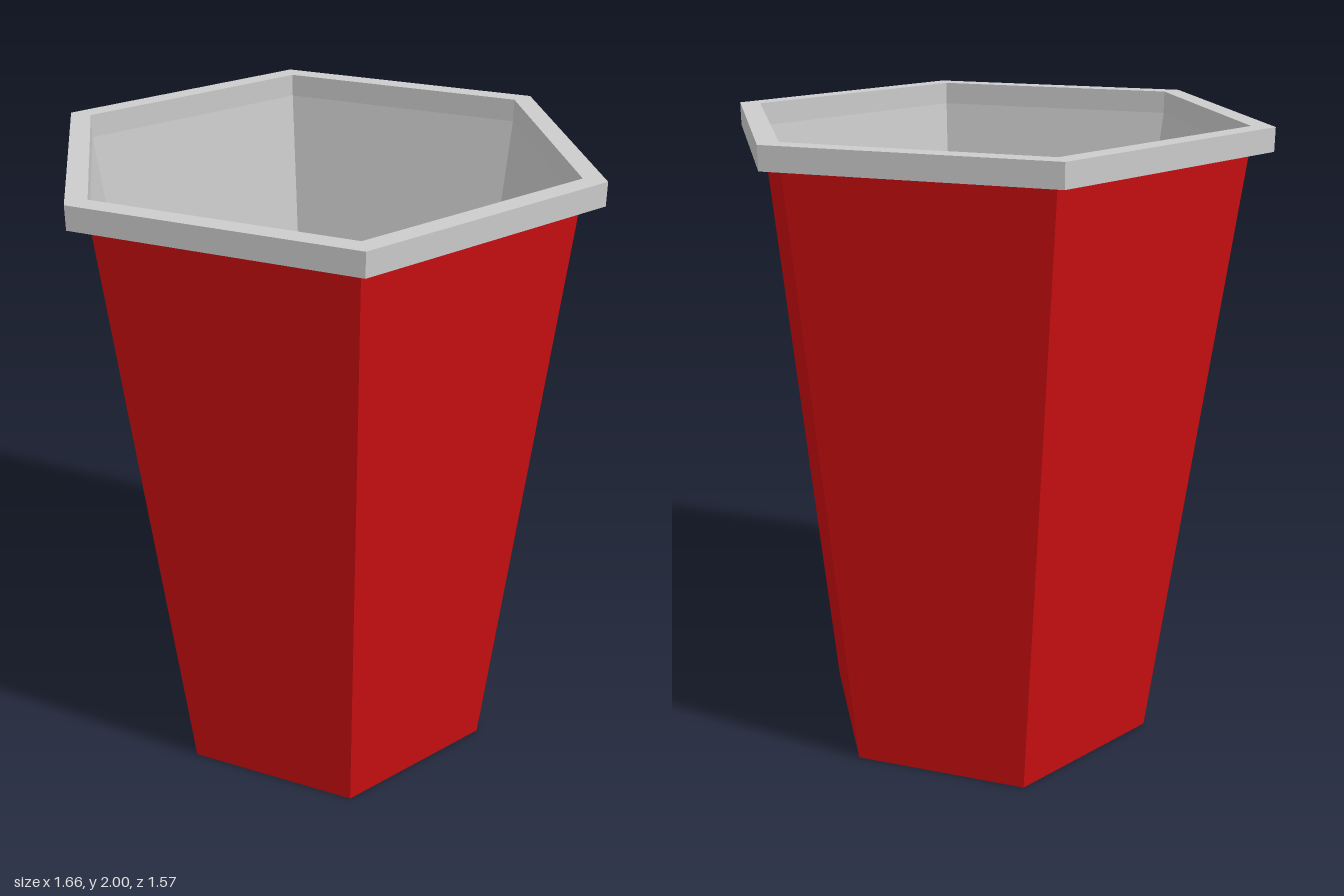
import * as THREE from 'three';

const SIDES = 6;
const TURN = THREE.MathUtils.degToRad(8.9);

// A hexagonal ring: radius, height and centre offset
const ring = (r, y, cx = 0, cz = 0) =>
  Array.from({ length: SIDES }, (_, i) => {
    const a = TURN + (i / SIDES) * Math.PI * 2;
    return [cx + r * Math.cos(a), y, cz + r * Math.sin(a)];
  });

// Skin successive rings; going up the outside faces outward
function loft(name, rings, material) {
  const pos = [];
  for (let k = 0; k < rings.length - 1; k++) {
    const lo = rings[k], hi = rings[k + 1];
    for (let i = 0; i < SIDES; i++) {
      const j = (i + 1) % SIDES;
      pos.push(...lo[i], ...hi[i], ...lo[j], ...lo[j], ...hi[i], ...hi[j]);
    }
  }
  const geometry = new THREE.BufferGeometry();
  geometry.setAttribute('position', new THREE.Float32BufferAttribute(pos, 3));
  geometry.computeVertexNormals();
  const mesh = new THREE.Mesh(geometry, material);
  mesh.name = name;
  return mesh;
}

// Flat hexagon, facing up or down
function cap(name, [r, y, cx, cz], up, material) {
  const geometry = new THREE.CircleGeometry(r, SIDES, up ? -TURN : TURN);
  geometry.rotateX(up ? -Math.PI / 2 : Math.PI / 2);
  const mesh = new THREE.Mesh(geometry, material);
  mesh.position.set(cx, y, cz);
  mesh.name = name;
  return mesh;
}

export function createModel() {
  const grey = new THREE.MeshStandardMaterial({ color: 0xcccccc, flatShading: true });
  const red = new THREE.MeshStandardMaterial({ color: 0xcc0e10, flatShading: true });

  const rimOuter = 0.84, mouth = 0.77, rimY = 1.93, topY = 2;
  const base = [0.554, 0, 0.014, 0.0175];
  const floor = [0.516, 0.05, 0.019, 0.0175];

  const cup = new THREE.Group();
  cup.name = 'cup';
  cup.add(
    // Tapered red outside
    loft('outerWall', [ring(...base), ring(mouth, rimY)], red),
    cap('underside', base, false, grey),
    // Grey lining and floor
    loft('innerWall', [ring(mouth, rimY), ring(...floor)], grey),
    cap('floor', floor, true, grey),
    // Square-edged lip
    loft('rim', [
      ring(mouth, rimY), ring(rimOuter, rimY), ring(rimOuter, topY),
      ring(mouth, topY), ring(mouth, rimY),
    ], grey),
  );
  return cup;
}
